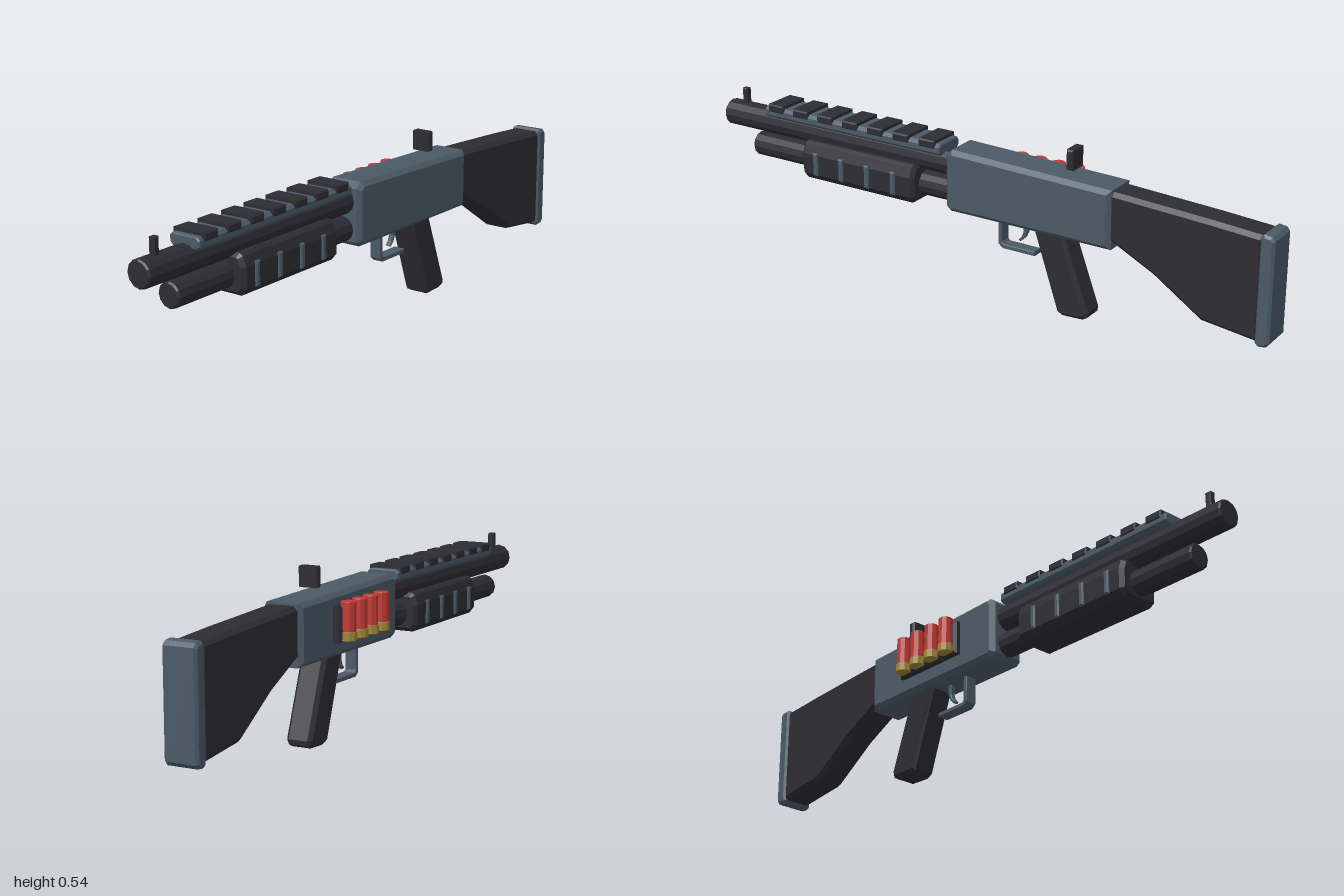
import * as THREE from 'three';

const CX = 0.023; // the body sits slightly left of centre because of the shell rack

export function createModel() {
  const root = new THREE.Group();
  root.name = 'pumpShotgun';

  const mat = (name, color) => {
    const m = new THREE.MeshStandardMaterial({ color });
    m.name = name;
    return m;
  };
  const dark = mat('charcoal polymer', 0x2d2c34);
  const slate = mat('slate metal', 0x4b5a66);
  const red = mat('red hull', 0xc23a35);
  const brass = mat('brass', 0xa08838);

  const add = (name, geo, material, x = CX, y = 0, z = 0, parent = root) => {
    const m = new THREE.Mesh(geo, material);
    m.name = name;
    m.position.set(x, y, z);
    parent.add(m);
    return m;
  };

  // Extruded outline with chamfered edges, centred along its depth
  const extrude = (pts, depth, bevel) => {
    const shape = new THREE.Shape(pts.map(([a, b]) => new THREE.Vector2(a, b)));
    return new THREE.ExtrudeGeometry(shape, {
      depth: depth - 2 * bevel, bevelEnabled: bevel > 0, bevelThickness: bevel,
      bevelSize: bevel, bevelOffset: -bevel, bevelSegments: 1,
    }).translate(0, 0, -depth / 2 + bevel);
  };
  // Side outline given as [z, y], extruded across x
  const side = (pts, width, bevel) => extrude(pts, width, bevel).rotateY(-Math.PI / 2);
  // Chamfered box
  const block = (w, h, d, bevel) => side(
    [[-d / 2, -h / 2], [d / 2, -h / 2], [d / 2, h / 2], [-d / 2, h / 2]], w, bevel);

  // Faceted rod along y with chamfered ends
  const rod = (r, y0, y1, c, sides) => {
    const p = [[0, y0], [r - c, y0], [r, y0 + c], [r, y1 - c], [r - c, y1], [0, y1]];
    const g = new THREE.LatheGeometry(p.map(([a, b]) => new THREE.Vector2(a, b)), sides).toNonIndexed();
    g.computeVertexNormals();
    return g;
  };

  // Barrel and magazine tube
  add('barrel', rod(0.043, 0.05, 1.0, 0.005, 12).rotateX(Math.PI / 2), dark, CX, 0.408);
  add('magazineTube', rod(0.04, 0.05, 0.885, 0.005, 12).rotateX(Math.PI / 2), dark, CX, 0.318);
  add('frontSight', block(0.022, 0.06, 0.02, 0.003), dark, CX, 0.47, 0.935);

  // Receiver
  add('receiver', side([
    [-0.482, 0.266], [0.085, 0.266], [0.1, 0.28], [0.1, 0.45], [0.08, 0.469], [-0.482, 0.454],
  ], 0.13, 0.014), slate);
  add('rearSight', block(0.066, 0.064, 0.024, 0.005), dark, CX, 0.51, -0.325);

  // Top rail with cross teeth
  const rail = new THREE.Group();
  rail.name = 'topRail';
  root.add(rail);
  add('railBase', extrude([
    [-0.045, 0.436], [0.045, 0.436], [0.055, 0.446], [0.055, 0.464],
    [0.045, 0.474], [-0.045, 0.474], [-0.055, 0.464], [-0.055, 0.446],
  ], 0.69, 0.004), slate, CX, 0, 0.47, rail);
  for (let i = 0; i < 7; i++) {
    add('railTooth', block(0.116, 0.026, 0.06, 0.004), dark, CX, 0.471, 0.173 + i * 0.099, rail);
  }

  // Sliding fore-end with side ribs
  const foreEnd = new THREE.Group();
  foreEnd.name = 'foreEnd';
  root.add(foreEnd);
  add('foreEndBody', extrude([
    [-0.055, 0.262], [0.055, 0.262], [0.073, 0.284], [0.073, 0.35],
    [0.062, 0.38], [0.05, 0.388], [-0.05, 0.388], [-0.062, 0.38], [-0.073, 0.35], [-0.073, 0.284],
  ], 0.44, 0.012), dark, CX, 0, 0.435, foreEnd);
  for (const s of [-1, 1]) {
    for (let i = 0; i < 4; i++) {
      add('foreEndRib', block(0.02, 0.076, 0.018, 0.004), slate, CX + s * 0.07, 0.32, 0.291 + i * 0.1015, foreEnd);
    }
  }

  // Pistol grip
  add('pistolGrip', side([
    [-0.2, 0.285], [-0.305, 0.285], [-0.399, 0.03], [-0.396, 0.014], [-0.38, 0.005],
    [-0.31, 0.002], [-0.292, 0.012],
  ], 0.088, 0.012), dark);

  // Trigger guard: one flat bent strip, and the curved trigger
  add('triggerGuard', side([
    [-0.068, 0.28], [-0.082, 0.28], [-0.082, 0.188], [-0.09, 0.181], [-0.2, 0.181],
    [-0.2, 0.167], [-0.083, 0.167], [-0.068, 0.18],
  ], 0.04, 0.002), slate);
  add('trigger', side([
    [-0.15, 0.28], [-0.153, 0.235], [-0.147, 0.217], [-0.135, 0.204],
    [-0.142, 0.2], [-0.156, 0.213], [-0.166, 0.235], [-0.168, 0.28],
  ], 0.018, 0.002), slate);

  // Shoulder stock and butt pad
  add('stock', side([
    [-0.465, 0.448], [-0.465, 0.292], [-0.49, 0.283], [-0.62, 0.218],
    [-0.78, 0.112], [-0.965, 0.09], [-0.965, 0.42], [-0.8, 0.431],
  ], 0.104, 0.013), dark);
  add('buttPad', side([
    [-0.955, 0.09], [-0.965, 0.08], [-0.99, 0.083], [-1.0, 0.095],
    [-1.0, 0.412], [-0.99, 0.424], [-0.965, 0.427], [-0.955, 0.417],
  ], 0.112, 0.008), slate);

  // Side rack carrying four shells
  const rack = new THREE.Group();
  rack.name = 'shellRack';
  root.add(rack);
  add('rackPlate', block(0.032, 0.112, 0.27, 0.01), dark, -0.056, 0.37, -0.175, rack);
  for (let i = 0; i < 4; i++) {
    const z = -0.275 + i * 0.067;
    add('shellHull', rod(0.0235, 0.34, 0.438, 0.002, 10), red, -0.08, 0, z, rack);
    add('shellBase', rod(0.026, 0.32, 0.347, 0.001, 10), brass, -0.08, 0, z, rack);
  }

  return root;
}
